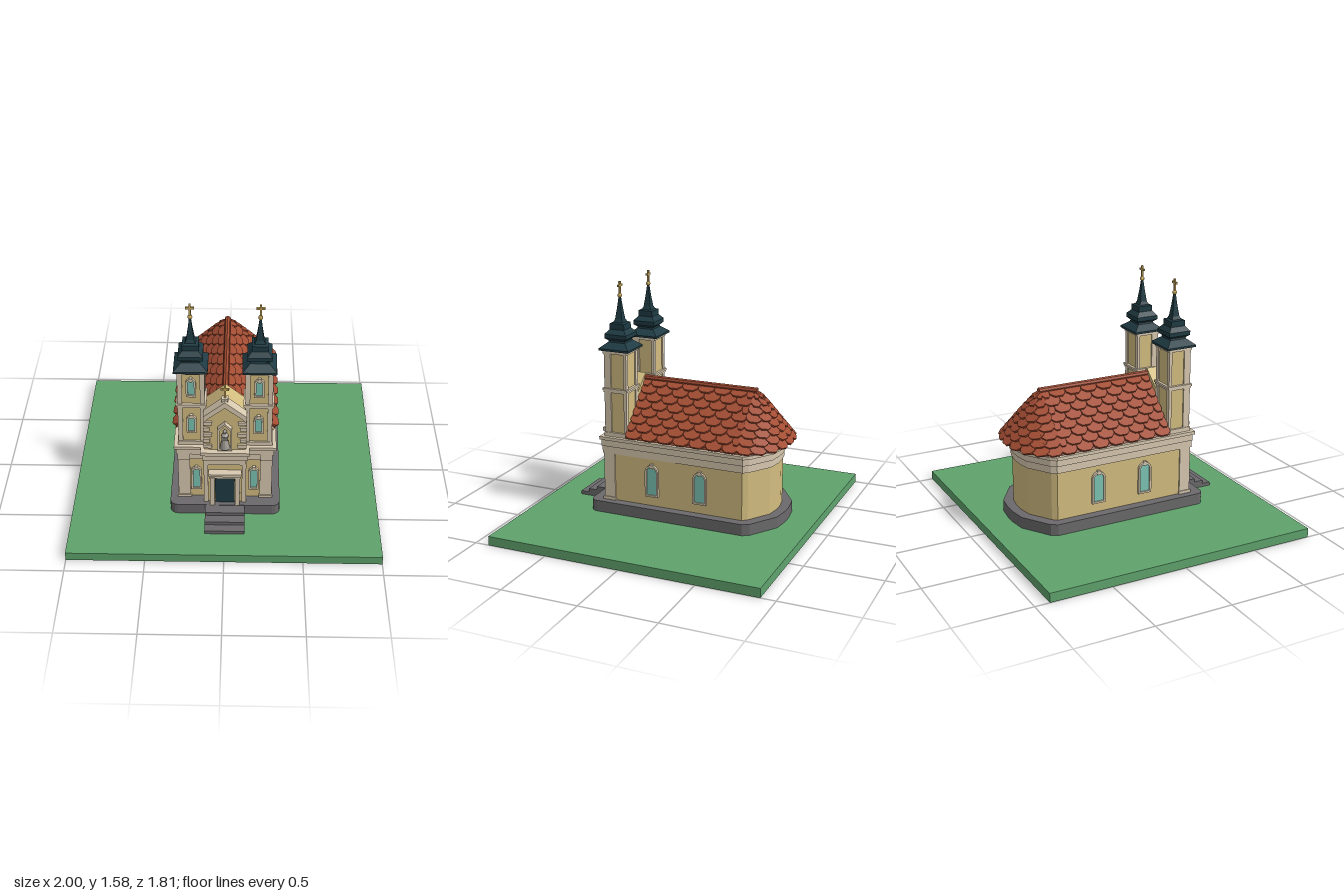
import * as THREE from 'three';
import { mergeGeometries } from 'three/addons/utils/BufferGeometryUtils.js';

const mat = (color, extra = {}) => new THREE.MeshStandardMaterial({ color, flatShading: true, ...extra });
const M = {
  grass: mat(0x5fa36c), stone: mat(0x6b696b), wall: mat(0xd3bd80), trim: mat(0xd8c9b0),
  tile: mat(0xa34d33), roof: mat(0x8a402b, { side: THREE.DoubleSide }), spire: mat(0x1f3b43),
  glass: mat(0x7cc4b4), gold: mat(0xc9a95c), statue: mat(0xa5a199)
};
const V = (x, y, z) => new THREE.Vector3(x, y, z);

function add(parent, name, geo, material, x = 0, y = 0, z = 0) {
  const m = new THREE.Mesh(geo, material);
  m.name = name;
  m.position.set(x, y, z);
  parent.add(m);
  return m;
}
// box given by its x, y and z ranges
const block = (p, name, material, x0, x1, y0, y1, z0, z1) =>
  add(p, name, new THREE.BoxGeometry(x1 - x0, y1 - y0, z1 - z0), material, (x0 + x1) / 2, (y0 + y1) / 2, (z0 + z1) / 2);
const extrude = (shape, depth) => new THREE.ExtrudeGeometry(shape, { depth, bevelEnabled: false, curveSegments: 8 });
const polygon = pts => new THREE.Shape(pts.map(p => new THREE.Vector2(p[0], p[1])));

// church footprint grown by d, with a faceted apse; r cuts the front corners
function footprint(d, front, y0, y1, r = 0) {
  const x = 0.295 + d, half = [];
  if (r) for (let i = 0; i <= 4; i++) {
    const a = i * Math.PI / 8;
    half.push([x - r + r * Math.sin(a), -(front - r + r * Math.cos(a))]);
  } else half.push([x, -front]);
  half.push([x, 0.52 + d * 0.4], [x - 0.025, 0.55 + d * 0.6], [0.125 + d * 0.4, 0.645 + d], [0.04, 0.66 + d]);
  const pts = [...half, ...half.slice().reverse().map(p => [-p[0], p[1]])];
  return extrude(polygon(pts), y1 - y0).rotateX(-Math.PI / 2).translate(0, y0, 0);
}

// round-headed outline standing on y = 0
function arch(w, h, hole) {
  const s = new THREE.Shape();
  s.moveTo(-w / 2, 0).lineTo(w / 2, 0).lineTo(w / 2, h - w / 2);
  s.absarc(0, h - w / 2, w / 2, 0, Math.PI, false);
  s.lineTo(-w / 2, 0);
  if (hole) s.holes.push(arch(w - 2 * hole, h - 2 * hole).clone());
  return s;
}
function archWindow(parent, w, h, x, y, z, turn = 0, border = 0.012) {
  const g = new THREE.Group();
  g.name = 'window';
  g.position.set(x, y, z);
  g.rotation.y = turn;
  const frame = arch(w, h);
  const inner = arch(w - 2 * border, h - 2 * border).getPoints(8).map(p => p.add(new THREE.Vector2(0, border)));
  frame.holes.push(new THREE.Path(inner));
  add(g, 'windowFrame', extrude(frame, 0.018), M.trim);
  add(g, 'windowGlass', extrude(arch(w - border, h - border), 0.008), M.glass, 0, border / 2);
  block(g, 'keystone', M.trim, -0.01, 0.01, h - 0.02, h + 0.008, 0, 0.02);
  parent.add(g);
}

function cross(parent, x, y, z, h) {
  block(parent, 'crossPost', M.gold, x - 0.006, x + 0.006, y, y + h, z - 0.006, z + 0.006);
  block(parent, 'crossArm', M.gold, x - 0.026, x + 0.026, y + h * 0.6, y + h * 0.6 + 0.013, z - 0.006, z + 0.006);
}

// one roof tile with clipped lower corners, bottom edge at the origin
function tileGeometry(w, len, eave, ridge, tangent, s) {
  const geo = extrude(polygon([[-w * 0.24, 0], [w * 0.24, 0], [w * 0.46, 0.022], [w * 0.49, 0.045],
    [w * 0.42, len], [-w * 0.42, len], [-w * 0.49, 0.045], [-w * 0.46, 0.022]]), 0.013);
  let X = tangent.clone().normalize();
  let U = ridge.clone().sub(eave).normalize();
  X.addScaledVector(U, -X.dot(U)).normalize();
  let N = X.clone().cross(U);
  if (N.y < 0) { X.negate(); N.negate(); }
  const p = eave.clone().lerp(ridge, s).addScaledVector(N, 0.014);
  U = U.multiplyScalar(len).addScaledVector(N, -0.02).normalize();
  N = X.clone().cross(U);
  return geo.applyMatrix4(new THREE.Matrix4().makeBasis(X, U, N).setPosition(p));
}

function buildRoof(root) {
  const g = new THREE.Group();
  g.name = 'roof';
  root.add(g);
  const hipEave = a => V(0.32 * Math.sin(a), 0.58, -0.5 - 0.225 * Math.cos(a));
  const ridgeY = 0.9, apex = V(0, ridgeY, -0.5), tiles = [], rows = 8;
  // deck below the tiles
  const eaves = [V(-0.32, 0.58, 0.28)];
  for (let i = 0; i <= 10; i++) eaves.push(hipEave((i / 10 - 0.5) * Math.PI));
  eaves.push(V(0.32, 0.58, 0.28));
  const pos = [];
  for (let i = 0; i < eaves.length - 1; i++) {
    const a = eaves[i], b = eaves[i + 1];
    const ra = V(0, ridgeY, Math.max(a.z, -0.5)), rb = V(0, ridgeY, Math.max(b.z, -0.5));
    for (const p of [a, ra, b, b, ra, rb]) pos.push(p.x, p.y, p.z);
  }
  const deck = new THREE.BufferGeometry();
  deck.setAttribute('position', new THREE.Float32BufferAttribute(pos, 3));
  deck.computeVertexNormals();
  add(g, 'roofDeck', deck, M.roof);

  for (let r = 0; r < rows; r++) {
    const s = r / rows - 0.02, len = r === rows - 1 ? 0.06 : 0.09;
    // long slopes, alternate rows staggered
    const n = 7, w = 0.78 / n, odd = r % 2;
    for (const side of [-1, 1]) for (let i = 0; i < n + odd; i++) {
      const end = odd && (i === 0 || i === n);
      const z = end ? (i === 0 ? -0.5 + w / 4 : 0.28 - w / 4) : -0.5 + w * (i + (odd ? 0 : 0.5));
      tiles.push(tileGeometry(end ? w / 2 : w, len, V(side * 0.32, 0.58, z), V(0, ridgeY, z), V(0, 0, 1), s));
    }
    // hip round the apse
    const arc = 0.87 * (1 - Math.max(s, 0)), m = Math.max(4, Math.round(arc / 0.1));
    for (let i = 0; i < m; i++) {
      const a = ((i + 0.5) / m - 0.5) * Math.PI;
      const t = V(Math.cos(a) * 0.32, 0, Math.sin(a) * 0.225);
      tiles.push(tileGeometry(arc / m * 1.12, len * 0.9, hipEave(a), apex, t, s));
    }
  }
  add(g, 'roofTiles', mergeGeometries(tiles), M.tile);
  add(g, 'ridgeCap', new THREE.CylinderGeometry(0.02, 0.02, 0.79, 8).rotateX(Math.PI / 2), M.tile, 0, 0.907, -0.11);
}

function buildTower(root, side) {
  const g = new THREE.Group();
  g.name = side > 0 ? 'leftTower' : 'rightTower';
  g.position.set(side * 0.21, 0, 0.356);
  root.add(g);
  block(g, 'towerShaft', M.wall, -0.076, 0.076, 0.57, 1.15, -0.07, 0.07);
  for (const x of [-1, 1]) for (const z of [-1, 1])
    add(g, 'cornerPilaster', new THREE.BoxGeometry(0.03, 0.58, z > 0 ? 0.046 : 0.02), M.trim, x * 0.07, 0.86, z * (z > 0 ? 0.055 : 0.068));
  block(g, 'towerBase', M.trim, -0.09, 0.09, 0.57, 0.6, -0.082, 0.082);
  block(g, 'towerBand', M.trim, -0.089, 0.089, 0.868, 0.882, -0.082, 0.082);
  block(g, 'towerBand', M.trim, -0.095, 0.095, 0.882, 0.896, -0.088, 0.088);
  block(g, 'towerCap', M.trim, -0.09, 0.09, 1.125, 1.15, -0.084, 0.084);
  for (const y of [0.67, 0.955]) {
    archWindow(g, 0.062, 0.135, 0, y, 0.068);
  }
  // stepped square helm and needle
  const profile = [[0, 1.145], [0.105, 1.145], [0.105, 1.158], [0.058, 1.195], [0.055, 1.205], [0.076, 1.222], [0.076, 1.248],
    [0.05, 1.278], [0.05, 1.315], [0.033, 1.32], [0.024, 1.34], [0.014, 1.41], [0.005, 1.49]];
  add(g, 'spire', new THREE.LatheGeometry(profile.map(p => new THREE.Vector2(p[0] * Math.SQRT2, p[1])), 4).rotateY(Math.PI / 4), M.spire);
  add(g, 'spireBall', new THREE.SphereGeometry(0.015, 12, 8), M.gold, 0, 1.492, 0);
  cross(g, 0, 1.5, 0, 0.08);
}

function buildFacade(root) {
  const g = new THREE.Group();
  g.name = 'facade';
  root.add(g);
  // projecting centre bay with its entablature
  block(g, 'centreBay', M.wall, -0.13, 0.13, 0.13, 0.57, 0.4, 0.485);
  block(g, 'bayFrieze', M.trim, -0.135, 0.135, 0.455, 0.505, 0.4, 0.497);
  block(g, 'bayCornice', M.trim, -0.145, 0.145, 0.505, 0.55, 0.4, 0.512);
  block(g, 'bayCorniceTop', M.trim, -0.155, 0.155, 0.55, 0.575, 0.4, 0.524);
  // door
  block(g, 'door', M.spire, -0.063, 0.063, 0.135, 0.36, 0.48, 0.495);
  block(g, 'doorLintel', M.trim, -0.1, 0.1, 0.36, 0.385, 0.48, 0.522);
  block(g, 'doorCornice', M.trim, -0.105, 0.105, 0.385, 0.405, 0.48, 0.535);
  // gable block reaching back between the towers
  add(g, 'gable', extrude(polygon([[-0.13, 0.57], [0.13, 0.57], [0.13, 0.83], [0, 0.94], [-0.13, 0.83]]), 0.205), M.wall, 0, 0, 0.28);
  add(g, 'gableCoping', extrude(polygon([[0.135, 0.8], [0.135, 0.85], [0, 0.963], [-0.135, 0.85], [-0.135, 0.8], [-0.11, 0.83], [0, 0.92], [0.11, 0.83]]), 0.07), M.trim, 0, 0, 0.434);
  for (const s of [-1, 1]) {
    const span = (name, m, a, b, ...rest) => block(g, name, m, Math.min(s * a, s * b), Math.max(s * a, s * b), ...rest);
    span('doorPilaster', M.trim, 0.066, 0.096, 0.13, 0.37, 0.48, 0.525);
    span('bayPilaster', M.trim, 0.108, 0.136, 0.13, 0.46, 0.44, 0.494);
    span('towerPilaster', M.trim, 0.225, 0.303, 0.13, 0.46, 0.365, 0.442);
    span('pilasterBase', M.trim, 0.219, 0.309, 0.13, 0.155, 0.36, 0.45);
    span('upperPilaster', M.trim, 0.225, 0.303, 0.455, 0.51, 0.365, 0.452);
    for (let i = 0; i < 5; i++)
      span('gableQuoin', M.trim, i % 2 ? 0.095 : 0.08, 0.136, 0.595 + i * 0.046, 0.62 + i * 0.046, 0.434, 0.499);
    archWindow(g, 0.066, 0.185, s * 0.185, 0.205, 0.432);
  }
  // niche and statue
  const niche = [[-0.045, 0.59], [0.045, 0.59], [0.045, 0.76], [0, 0.805], [-0.045, 0.76]];
  const frame = polygon(niche);
  frame.holes.push(new THREE.Path(niche.map(p => new THREE.Vector2(p[0] * 0.76, 0.695 + (p[1] - 0.695) * 0.86))));
  add(g, 'nicheFrame', extrude(frame, 0.034), M.trim, 0, 0, 0.484);
  const robe = [[0, 0.605], [0.03, 0.605], [0.026, 0.64], [0.019, 0.68], [0.023, 0.705], [0.009, 0.722], [0, 0.724]];
  add(g, 'statueRobe', new THREE.LatheGeometry(robe.map(p => new THREE.Vector2(...p)), 12), M.statue, 0, 0, 0.502);
  add(g, 'statueHead', new THREE.SphereGeometry(0.013, 12, 8), M.statue, 0, 0.735, 0.503);
  add(g, 'statueArms', new THREE.BoxGeometry(0.042, 0.014, 0.018), M.statue, 0, 0.69, 0.52);
  block(g, 'crossBase', M.trim, -0.02, 0.02, 0.945, 0.972, 0.44, 0.48);
  cross(g, 0, 0.97, 0.46, 0.095);
}

export function createModel() {
  const root = new THREE.Group();
  root.name = 'church';
  block(root, 'lawn', M.grass, -1, 1, 0, 0.06, -0.905, 0.905);
  add(root, 'plinth', footprint(0.062, 0.525, 0.06, 0.135, 0.05), M.stone);
  [0.715, 0.657, 0.595].forEach((z, i) =>
    block(root, 'step', M.stone, -0.128, 0.128, 0.06, 0.084 + i * 0.024, 0.45, z));

  // nave and apse walls with stepped cornice
  add(root, 'walls', footprint(0, 0.434, 0.13, 0.57), M.wall);
  add(root, 'frieze', footprint(0.008, 0.442, 0.455, 0.505), M.trim);
  add(root, 'cornice', footprint(0.017, 0.454, 0.505, 0.55), M.trim);
  add(root, 'corniceTop', footprint(0.03, 0.464, 0.55, 0.572), M.trim);
  for (const s of [-1, 1]) for (const z of [0.1, -0.235])
    archWindow(root, 0.092, 0.215, s * 0.294, 0.2, z, s * Math.PI / 2);

  buildRoof(root);
  // wall closing the roof behind the towers
  add(root, 'roofEndWall', extrude(polygon([[-0.31, 0.57], [0.31, 0.57], [0, 0.895]]), 0.012), M.wall, 0, 0, 0.27);
  buildFacade(root);
  for (const s of [-1, 1]) buildTower(root, s);
  return root;
}
